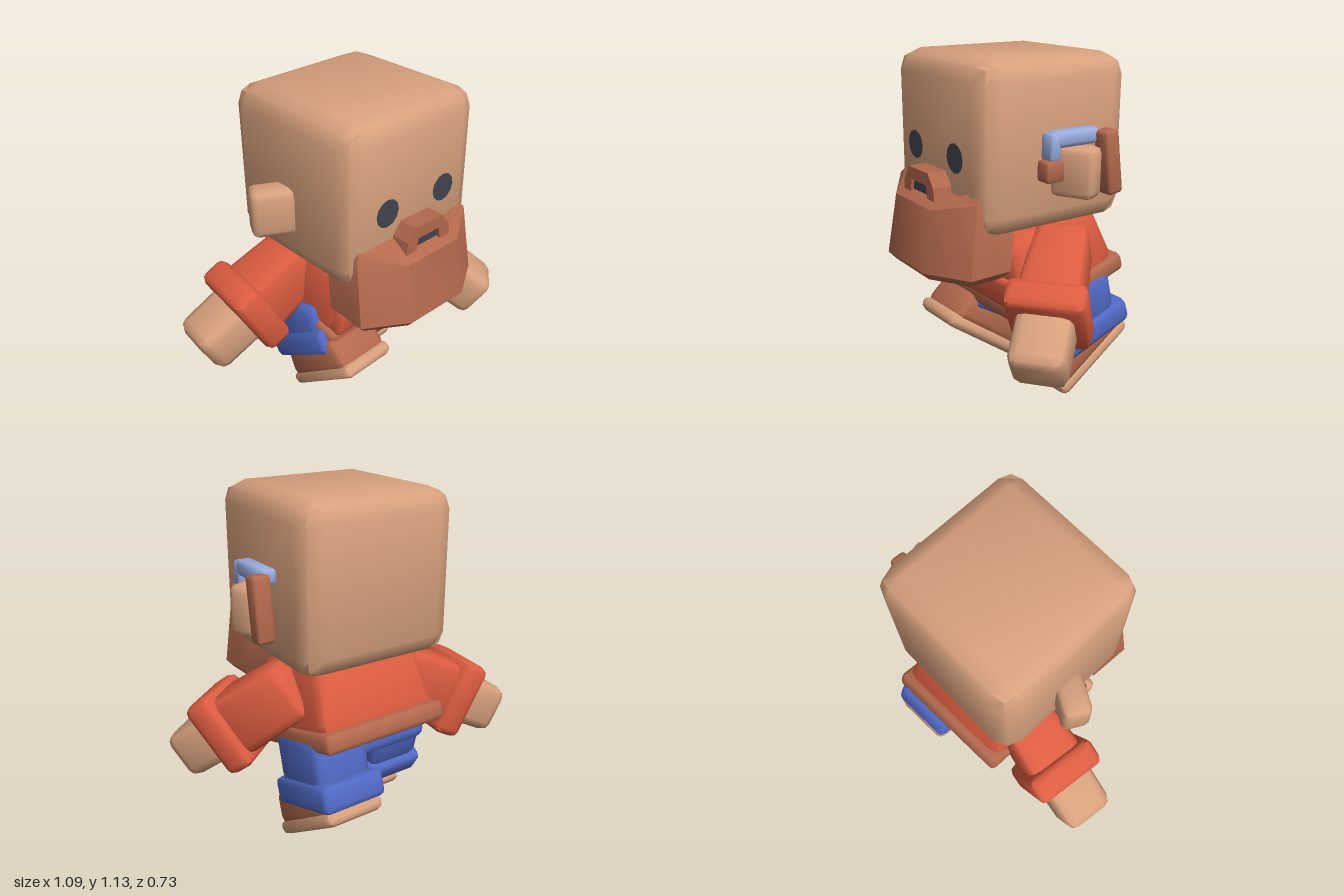
import * as THREE from 'three';
import { RoundedBoxGeometry } from 'three/addons/geometries/RoundedBoxGeometry.js';
import { toCreasedNormals } from 'three/addons/utils/BufferGeometryUtils.js';

const material = (name, color) => Object.assign(new THREE.MeshStandardMaterial({ color }), { name });

// Chamfered block; tx and tz scale its width and depth at the top.
function block(w, h, d, r, tx = 1, tz = 1) {
  const g = new RoundedBoxGeometry(w, h, d, 1, r);
  const p = g.attributes.position;
  for (let i = 0; i < p.count; i++) {
    const t = p.getY(i) / h + 0.5;
    p.setX(i, p.getX(i) * (1 + (tx - 1) * t));
    p.setZ(i, p.getZ(i) * (1 + (tz - 1) * t));
  }
  return toCreasedNormals(g, 0.85);
}

function add(parent, name, geometry, mat, pos = [0, 0, 0], rot = [0, 0, 0]) {
  const m = new THREE.Mesh(geometry, mat);
  m.name = name;
  m.position.set(...pos);
  m.rotation.set(...rot);
  parent.add(m);
  return m;
}

function shapeOf(points) {
  return new THREE.Shape(points.map(([x, y]) => new THREE.Vector2(x, y)));
}

export function createModel() {
  const skin = material('skin', 0xd8a17d);
  const rust = material('rust brown', 0xb3694d);
  const red = material('shirt red', 0xdd5d41);
  const blue = material('trouser blue', 0x5169c4);
  const pale = material('pale blue', 0x9aacdf);
  const dark = material('dark grey', 0x42454f);

  const model = new THREE.Group();
  model.name = 'figure';

  // Head, turned slightly to its right
  const head = new THREE.Group();
  head.name = 'head';
  head.position.set(-0.012, 0.952, 0.048);
  head.rotation.y = -0.04;
  model.add(head);
  add(head, 'skull', block(0.54, 0.525, 0.54, 0.068), skin);
  for (const s of [-1, 1]) {
    add(head, 'ear', block(0.14, 0.155, 0.09, 0.022), skin, [s * 0.305, -0.072, -0.035], [0, s * 0.5, 0]);
    add(head, 'eye', new THREE.CircleGeometry(0.046, 12), dark, [s * 0.12, -0.03, 0.274]);
  }

  // Beard: plan outline extruded upwards, narrowed towards the top
  const plan = shapeOf([[-0.225, -0.18], [0.225, -0.18], [0.23, -0.29], [0.11, -0.365], [-0.11, -0.365], [-0.23, -0.29]]);
  const beard = new THREE.ExtrudeGeometry(plan, {
    depth: 0.2, bevelEnabled: true, bevelThickness: 0.025, bevelSize: 0.022, bevelSegments: 1,
  });
  beard.rotateX(-Math.PI / 2);
  const bp = beard.attributes.position;
  for (let i = 0; i < bp.count; i++) {
    const t = Math.max(0, bp.getY(i) - 0.1) / 0.125;
    const side = Math.abs(bp.getX(i)) / 0.23;
    bp.setX(i, bp.getX(i) * (1 - 0.07 * t));
    bp.setZ(i, bp.getZ(i) - 0.04 * t);
    bp.setY(i, bp.getY(i) + t * (side > 0.7 ? 0.03 : -0.01));
  }
  add(head, 'beard', toCreasedNormals(beard, 0.6), rust, [0, -0.37, 0]);

  // Moustache arch around the mouth
  const arch = shapeOf([[-0.1, -0.18], [-0.09, -0.12], [-0.06, -0.08], [0.06, -0.08], [0.09, -0.12], [0.1, -0.18],
    [0.055, -0.18], [0.045, -0.12], [-0.045, -0.12], [-0.055, -0.18]]);
  add(head, 'moustache', new THREE.ExtrudeGeometry(arch, { depth: 0.07, bevelEnabled: false }), rust, [0, 0, 0.262]);
  add(head, 'mouth', new THREE.BoxGeometry(0.11, 0.06, 0.008), dark, [0, -0.145, 0.318]);

  // Small tool tucked over the left ear
  const tool = new THREE.Group();
  tool.name = 'earTool';
  head.add(tool);
  add(tool, 'toolBar', block(0.055, 0.05, 0.17, 0.014), pale, [0.293, 0.03, -0.03]);
  add(tool, 'toolHook', block(0.055, 0.085, 0.04, 0.012), pale, [0.293, 0.008, 0.05]);
  add(tool, 'toolTip', block(0.055, 0.065, 0.065, 0.01), rust, [0.3, -0.06, 0.055]);
  add(tool, 'toolHandle', block(0.06, 0.2, 0.055, 0.012), rust, [0.335, -0.05, -0.135], [0.14, 0, 0]);

  // Torso leaning forward, with hem and hips
  const torso = new THREE.Group();
  torso.name = 'torso';
  torso.position.set(0, 0.45, -0.05);
  torso.rotation.x = 0.28;
  model.add(torso);
  add(torso, 'hem', block(0.46, 0.065, 0.44, 0.018), rust);
  add(torso, 'shirt', block(0.45, 0.25, 0.42, 0.045, 0.84, 0.82), red, [0, 0.13, 0.005]);
  add(torso, 'collar', block(0.34, 0.06, 0.33, 0.02, 0.9, 0.9), red, [0, 0.245, 0.01]);
  add(torso, 'shirtFold', block(0.43, 0.11, 0.06, 0.02, 0.95, 0.7), red, [0, 0.075, 0.195]);
  add(torso, 'hips', block(0.4, 0.1, 0.3, 0.03), blue, [0, -0.04, 0]);

  // Arms: local z runs from shoulder to hand
  const arms = [
    ['leftArm', [0.19, 0.62, -0.03], [0.43, 0.33, 0.275]],
    ['rightArm', [-0.17, 0.595, -0.075], [-0.55, 0.39, -0.135]],
  ];
  for (const [name, from, to] of arms) {
    const arm = new THREE.Group();
    arm.name = name;
    arm.position.set(...from);
    arm.lookAt(...to);
    model.add(arm);
    const len = new THREE.Vector3(...from).distanceTo(new THREE.Vector3(...to));
    const along = [Math.PI / 2, 0, 0];
    add(arm, 'sleeve', block(0.17, 0.3, 0.19, 0.03, 1.22, 1.15), red, [0, 0, len - 0.35], along);
    add(arm, 'cuff', block(0.25, 0.1, 0.26, 0.025), red, [0, 0, len - 0.21], along);
    add(arm, 'hand', block(0.18, 0.24, 0.17, 0.035, 0.96, 0.96), skin, [0, 0, len - 0.12], along);
  }

  // Legs mid-stride: left kicks back, right swings forward
  const legs = [
    { name: 'leftLeg', x: 0.137, thigh: [0.385, -0.1, 0.25], cuff: [0.29, -0.137, 0.32], foot: [0.165, -0.155, 0.575] },
    { name: 'rightLeg', x: -0.143, thigh: [0.385, -0.02, -0.25], cuff: [0.315, 0.015, -0.55], foot: [0.21, 0.13, -0.63] },
  ];
  for (const { name, x, thigh, cuff, foot } of legs) {
    const leg = new THREE.Group();
    leg.name = name;
    leg.position.x = x;
    model.add(leg);
    const place = (part, g, m, [y, z, a]) => add(leg, part, g, m, [0, y, z], [a, 0, 0]);
    place('thigh', block(0.2, 0.17, 0.24, 0.03), blue, thigh);
    place('trouserCuff', block(0.23, 0.09, 0.3, 0.022), blue, cuff);
    const shoe = new THREE.Group();
    shoe.name = 'foot';
    shoe.position.set(0, foot[0], foot[1]);
    shoe.rotation.x = foot[2];
    leg.add(shoe);
    add(shoe, 'sole', block(0.215, 0.05, 0.34, 0.024), skin, [0, 0.024, 0]);
    add(shoe, 'shoe', block(0.21, 0.12, 0.325, 0.03, 0.96, 0.85), rust, [0, 0.09, 0]);
  }
  return model;
}
